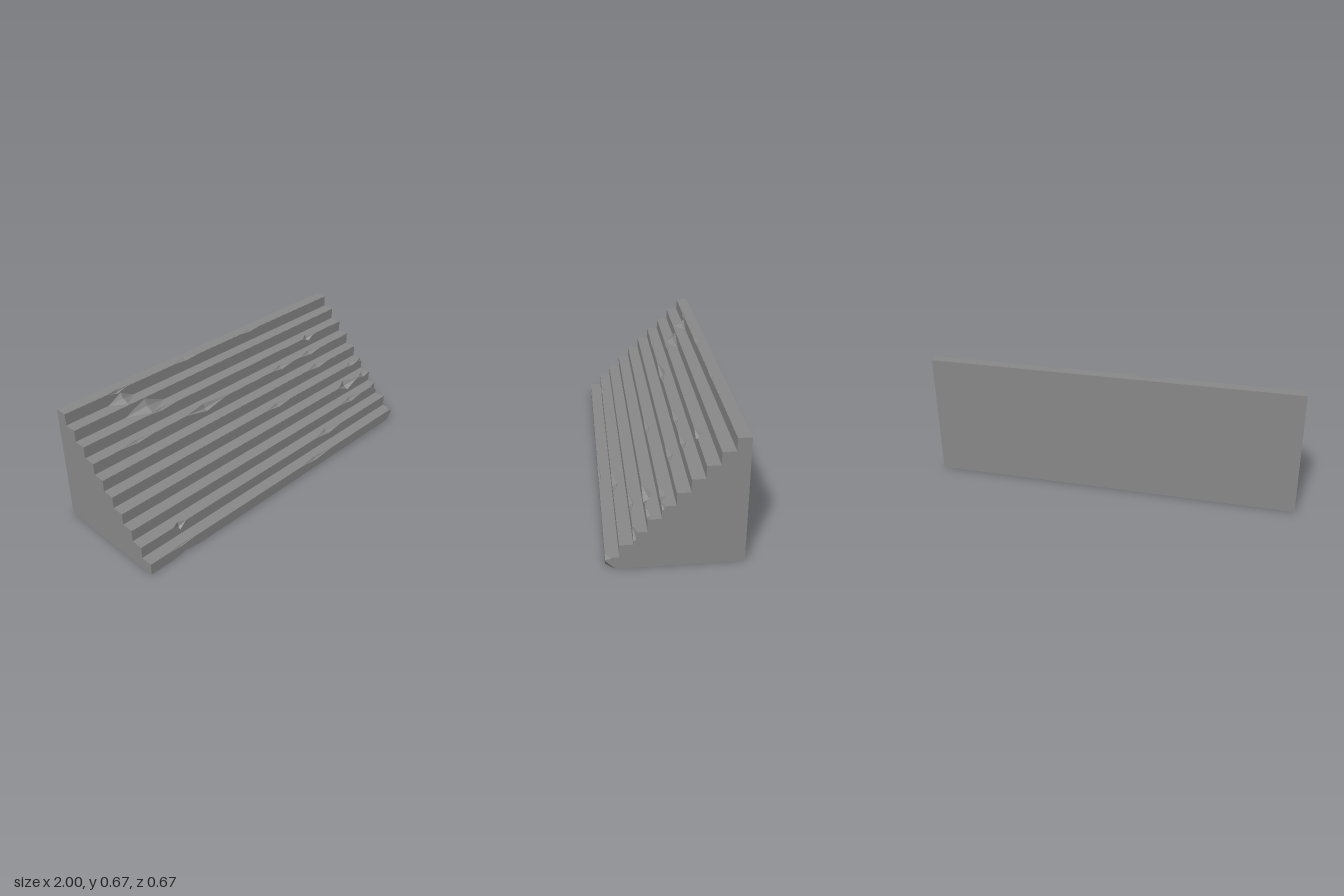
import * as THREE from 'three';
import { toCreasedNormals } from 'three/addons/utils/BufferGeometryUtils.js';

const STEPS = 10, S = 2 / 30, HALF = 1 / 3, EDGE = 0.001;

// Broken step noses: [step, x, half width, cut down, cut back]; step -1 is the bottom front edge
const chips = [
  [-1, -0.77, 0.1, 0.015, 0.02], [-1, 1, 0.045, 0.05, 0.05],
  [0, -0.8, 0.1, 0.008, 0.008], [0, 0.25, 0.13, 0.015, 0.015], [0, 1, 0.03, 0.01, 0.03],
  [1, 0.44, 0.11, 0.018, 0.035], [1, -0.75, 0.04, 0.04, 0.02],
  [2, 0.74, 0.1, 0.018, 0.025], [2, 1, 0.06, 0.05, 0.02],
  [3, 0.78, 0.09, 0.045, 0.045], [3, 0.95, 0.06, 0.02, 0.03],
  [4, 0.21, 0.1, 0.016, 0.025], [4, 0.9, 0.06, 0.012, 0.03], [4, 1, 0.04, 0.02, 0.015],
  [5, 0.64, 0.09, 0.016, 0.03],
  [6, -0.72, 0.11, 0.012, 0.018], [6, -0.24, 0.15, 0.035, 0.03],
  [6, 0.38, 0.09, 0.016, 0.03], [6, 0.64, 0.09, 0.016, 0.03],
  [7, 0.69, 0.05, 0.03, 0.03], [7, -0.5, 0.1, 0.01, 0.015],
  [9, -0.2, 0.09, 0.008, 0.03], [9, 0.3, 0.08, 0.008, 0.02], [9, -0.68, 0.06, 0.02, 0.01],
];

// Sloped debris at the foot of a riser: [step, x, half width, height, depth]
const fills = [
  [9, -0.66, 0.08, 0.045, 0.062], [8, -0.56, 0.13, 0.06, 0.06],
];

// Strongest tent-shaped damage acting on a step at x
function damage(list, step, x) {
  let best = [EDGE, EDGE];
  for (const [s, cx, w, a, b] of list) {
    const t = 1 - Math.abs(x - cx) / w;
    if (s === step && t > 0 && a * t > best[0]) best = [a * t, Math.max(EDGE, b * t)];
  }
  return best;
}

// Stair profile at x, as [z, y] from the front foot up to the back
function section(x) {
  const pts = [];
  for (let i = 0; i < STEPS; i++) {
    const z = HALF - i * S, top = (i + 1) * S;
    if (i === 0) {
      const [up, back] = damage(chips, -1, x);
      pts.push([z - back, 0], [z, up]);
    } else {
      const [up, out] = damage(fills, i, x);
      pts.push([z + out, i * S], [z + out * 0.3, i * S + up * 0.4], [z, i * S + up]);
    }
    // Hollow notch: sloping floor, then a steep wall up to the tread
    const [down, back] = damage(chips, i, x);
    pts.push([z, top - down], [z - back * 0.7, top - down * 0.75], [z - back, top]);
  }
  pts.push([-HALF, STEPS * S], [-HALF, 0]);
  return pts;
}

function stairGeometry() {
  // Stations at every damage centre and limit
  const xs = new Set([-1, 1]);
  for (const [, x, w] of [...chips, ...fills])
    for (const v of [x - w, x, x + w]) if (Math.abs(v) < 0.999) xs.add(+v.toFixed(3));
  const stations = [...xs].sort((a, b) => a - b);
  const rings = stations.map(section), n = rings[0].length;
  const pos = [], index = [];
  rings.forEach((ring, k) => ring.forEach(([z, y]) => pos.push(stations[k], y, z)));

  // Skin between neighbouring profiles
  for (let k = 0; k < rings.length - 1; k++)
    for (let j = 0; j < n; j++) {
      const a = k * n + j, b = k * n + (j + 1) % n;
      index.push(a, a + n, b + n, a, b + n, b);
    }

  // Flat end caps
  for (const k of [0, rings.length - 1]) {
    const flat = rings[k].map(([z, y]) => new THREE.Vector2(-z, y));
    for (const [a, b, c] of THREE.ShapeUtils.triangulateShape(flat, [])) {
      const ccw = THREE.ShapeUtils.area([flat[a], flat[b], flat[c]]) > 0;
      const o = k * n;
      if (ccw === (k > 0)) index.push(o + a, o + b, o + c);
      else index.push(o + a, o + c, o + b);
    }
  }
  const g = new THREE.BufferGeometry();
  g.setAttribute('position', new THREE.Float32BufferAttribute(pos, 3));
  g.setIndex(index);
  return toCreasedNormals(g, 0.05);
}

export function createModel() {
  const group = new THREE.Group();
  group.name = 'wornStaircase';
  const stairs = new THREE.Mesh(
    stairGeometry(),
    new THREE.MeshStandardMaterial({ color: 0x888888, flatShading: true })
  );
  stairs.name = 'stairs';
  group.add(stairs);
  return group;
}
